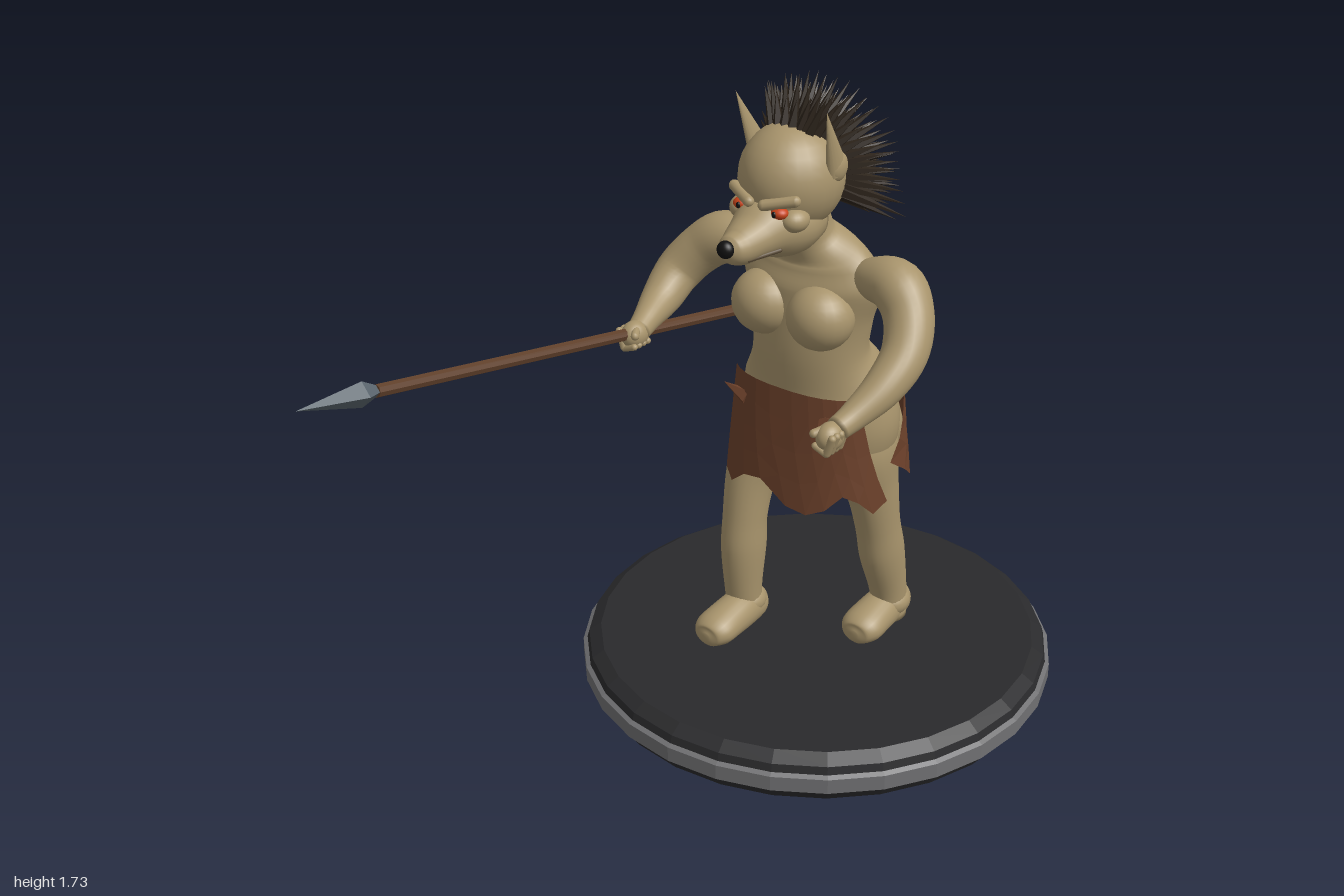
import * as THREE from 'three';
import { mergeVertices } from 'three/addons/utils/BufferGeometryUtils.js';

const mat = (color, flatShading = false, side = THREE.FrontSide) =>
  new THREE.MeshStandardMaterial({ color, flatShading, side, roughness: 0.9 });
const SKIN = mat(0xa8946c), HAIR = mat(0x2c231a, true), WOOD = mat(0x60402a, true);
const CLOTH = mat(0x6b402a, true, THREE.DoubleSide), STEEL = mat(0x59646c, true);
const DARK = mat(0x2a2a2c, true), RIM = mat(0x707072, true);
const BLACK = mat(0x111111), EYE = mat(0xc8431a);
const UP = new THREE.Vector3(0, 1, 0);
const V = (x, y, z) => new THREE.Vector3(x, y, z);

// Smooth skin through sections [x, y, z, radiusA, radiusB]
function loft(sections, sides = 24, steps = 36) {
  const path = new THREE.CatmullRomCurve3(sections.map(s => V(s[0], s[1], s[2])));
  const radii = new THREE.CatmullRomCurve3(sections.map((s, i) => V(s[3], s[4] ?? s[3], i * 0.05)));
  const geo = new THREE.CylinderGeometry(1, 1, 1, sides, steps);
  const pos = geo.attributes.position, p = V(0, 0, 0), q = new THREE.Quaternion();
  for (let i = 0; i < pos.count; i++) {
    p.fromBufferAttribute(pos, i);
    const t = THREE.MathUtils.clamp(p.y + 0.5, 0, 1), r = radii.getPoint(t);
    q.setFromUnitVectors(UP, path.getTangent(t));
    p.set(p.x * r.x, 0, p.z * r.y).applyQuaternion(q).add(path.getPoint(t));
    pos.setXYZ(i, p.x, p.y, p.z);
  }
  geo.deleteAttribute('uv');
  geo.deleteAttribute('normal');
  const smooth = mergeVertices(geo, 1e-5);
  smooth.computeVertexNormals();
  return smooth;
}

// Curved cloth strip round the hips; angles in degrees from the front, one hem height per column
function clothPanel(topRange, hemRange, hem) {
  const n = hem.length - 1, rows = 4, top = 0.92;
  const geo = new THREE.PlaneGeometry(1, 1, n, rows), pos = geo.attributes.position;
  const pow = (v, e) => Math.sign(v) * Math.abs(v) ** e;
  for (let i = 0; i < pos.count; i++) {
    const u = pos.getX(i) + 0.5, v = 0.5 - pos.getY(i);
    const a = THREE.MathUtils.degToRad(THREE.MathUtils.lerp(
      THREE.MathUtils.lerp(topRange[0], topRange[1], u),
      THREE.MathUtils.lerp(hemRange[0], hemRange[1], u), v ** 1.5));
    const y = top - v * (top - hem[Math.round(u * n)]), flare = top - y;
    pos.setXYZ(i, pow(Math.sin(a), 0.8) * (0.222 + flare * 0.08), y,
      -0.345 + pow(Math.cos(a), 0.8) * (0.165 + flare * 0.12));
  }
  geo.computeVertexNormals();
  return geo;
}

export function createModel() {
  const model = new THREE.Group();
  const add = (name, geo, material, parent = model) => {
    const m = new THREE.Mesh(geo, material);
    m.name = name;
    parent.add(m);
    return m;
  };
  const ball = (name, c, r, material = SKIN, parent = model) => {
    const m = add(name, new THREE.SphereGeometry(1, 24, 16), material, parent);
    m.position.set(...c);
    m.scale.set(...r);
    return m;
  };
  const between = (name, a, b, makeGeo, material, parent = model) => {
    const d = b.clone().sub(a), m = add(name, makeGeo(d.length()), material, parent);
    m.position.copy(a).addScaledVector(d, 0.5);
    m.quaternion.setFromUnitVectors(UP, d.normalize());
    return m;
  };
  const capsule = (name, a, b, r, parent, material = SKIN) =>
    between(name, a, b, l => new THREE.CapsuleGeometry(r, l, 4, 10), material, parent);

  // Round stand
  const lathe = (name, pts, material) => {
    const m = add(name, new THREE.LatheGeometry(pts.map(p => new THREE.Vector2(...p)), 28), material);
    m.position.z = -0.355;
  };
  lathe('standFoot', [[0, 0], [0.615, 0], [0.632, 0.03]], DARK);
  lathe('standRim', [[0.63, 0.028], [0.645, 0.038], [0.645, 0.08], [0.632, 0.088]], RIM);
  lathe('standTop', [[0.634, 0.086], [0.628, 0.108], [0.595, 0.13], [0, 0.13]], DARK);

  // Torso and neck
  add('torso', loft([
    [0, 0.6, -0.35, 0.06, 0.05], [0, 0.7, -0.355, 0.2, 0.15], [0, 0.8, -0.355, 0.225, 0.16],
    [0, 0.9, -0.34, 0.208, 0.15], [0, 1.0, -0.307, 0.163, 0.118], [0, 1.1, -0.307, 0.172, 0.115],
    [0, 1.2, -0.31, 0.2, 0.112], [0, 1.27, -0.295, 0.165, 0.085], [0, 1.32, -0.27, 0.082, 0.07],
    [0, 1.38, -0.25, 0.07, 0.07], [0, 1.44, -0.23, 0.06, 0.06]], 36, 60), SKIN);
  for (const s of [-1, 1]) {
    ball('chest', [s * 0.085, 1.125, -0.225], [0.088, 0.085, 0.085]);
    ball('buttock', [s * 0.1, 0.76, -0.42], [0.1, 0.11, 0.09]);
  }

  // Legs and feet: the right one steps forward
  const legs = {
    right: [-1, -0.18, [[0.16, -0.24], [0.25, -0.23], [0.38, -0.23], [0.48, -0.235], [0.6, -0.26], [0.72, -0.31], [0.84, -0.34]]],
    left: [1, -0.435, [[0.16, -0.48], [0.25, -0.47], [0.38, -0.435], [0.48, -0.41], [0.6, -0.385], [0.72, -0.36], [0.84, -0.35]]],
  };
  const legX = [0.157, 0.157, 0.156, 0.155, 0.15, 0.13, 0.1];
  const legR = [[0.048, 0.05], [0.05, 0.054], [0.058, 0.068], [0.058, 0.066], [0.066, 0.08], [0.09, 0.11], [0.085, 0.1]];
  for (const [side, [s, footZ, line]] of Object.entries(legs)) {
    add(side + 'Leg', loft(line.map(([y, z], i) => [s * legX[i], y, z, ...legR[i]])), SKIN);
    ball(side + 'Ankle', [s * 0.157, 0.205, line[0][1]], [0.057, 0.045, 0.06]);
    add(side + 'Foot', loft([
      [-0.118, 0.18, 0.01, 0.01], [-0.1, 0.185, 0.042, 0.046], [-0.04, 0.188, 0.052, 0.056],
      [0.03, 0.183, 0.057, 0.052], [0.085, 0.176, 0.058, 0.044], [0.115, 0.17, 0.04, 0.03], [0.122, 0.17, 0.01, 0.01],
    ].map(([z, y, a, b]) => [s * (0.152 + 0.02 * z), y, footZ + z, a, b])), SKIN);
  }

  // Arms, from wrist up to shoulder, with closed hands
  add('rightArm', loft([
    [-0.335, 1.04, -0.02, 0.03], [-0.347, 1.055, -0.07, 0.036], [-0.37, 1.08, -0.16, 0.052],
    [-0.37, 1.13, -0.23, 0.06], [-0.325, 1.19, -0.27, 0.064], [-0.265, 1.23, -0.29, 0.068],
    [-0.19, 1.23, -0.3, 0.055], [-0.13, 1.22, -0.3, 0.03]]), SKIN);
  add('leftArm', loft([
    [0.305, 0.98, 0.01, 0.03], [0.318, 1.0, -0.04, 0.036], [0.342, 1.05, -0.13, 0.05],
    [0.345, 1.11, -0.21, 0.058], [0.315, 1.18, -0.265, 0.063], [0.265, 1.23, -0.29, 0.068],
    [0.19, 1.23, -0.3, 0.055], [0.13, 1.22, -0.3, 0.03]]), SKIN);
  for (const [side, s, x, y, z] of [['right', -1, -0.335, 1.038, -0.01], ['left', 1, 0.3, 0.968, 0.03]]) {
    const hand = new THREE.Group();
    hand.name = side + 'Hand';
    hand.position.set(x, y, z);
    model.add(hand);
    ball('palm', [0, 0, 0], [0.032, 0.036, 0.04], SKIN, hand);
    for (let i = 0; i < 4; i++) {
      const fz = -0.022 + i * 0.017;
      capsule('finger', V(s * 0.026, 0.012, fz), V(s * 0.012, -0.03, fz), 0.01, hand);
      capsule('fingerTip', V(s * 0.01, -0.032, fz), V(-s * 0.022, -0.02, fz), 0.009, hand);
    }
    capsule('thumb', V(0, 0.025, -0.01), V(-s * 0.026, 0.012, 0.03), 0.011, hand);
  }

  // Head, muzzle and face
  const headC = V(0, 1.48, -0.215), headR = V(0.128, 0.135, 0.14);
  ball('head', headC.toArray(), headR.toArray());
  add('muzzle', loft([
    [0, 1.375, -0.25, 0.085, 0.075], [0, 1.375, -0.18, 0.1, 0.085], [0, 1.38, -0.11, 0.085, 0.078],
    [0, 1.37, -0.05, 0.064, 0.056], [0, 1.362, 0, 0.047, 0.045], [0, 1.365, 0.03, 0.034, 0.033],
    [0, 1.367, 0.045, 0.012, 0.012]]), SKIN);
  ball('nose', [0, 1.37, 0.045], [0.022, 0.022, 0.019], BLACK);
  for (const s of [-1, 1]) {
    ball('eye', [s * 0.056, 1.433, -0.09], [0.022, 0.015, 0.02], EYE);
    ball('pupil', [s * 0.053, 1.433, -0.072], [0.006, 0.008, 0.005], BLACK);
    capsule('brow', V(s * 0.022, 1.45, -0.072), V(s * 0.09, 1.465, -0.105), 0.014);
    ball('cheek', [s * 0.075, 1.41, -0.125], [0.035, 0.03, 0.04]);
    capsule('mouthLine', V(s * 0.034, 1.337, 0), V(s * 0.067, 1.345, -0.08), 0.005, model, mat(0x5c4c36));
    // Pointed ears
    const ear = between('ear', V(s * 0.115, 1.51, -0.235), V(s * 0.133, 1.675, -0.165),
      l => new THREE.ConeGeometry(0.036, l, 16), SKIN);
    ear.scale.x = 0.55;
    ball('earBase', [s * 0.115, 1.52, -0.235], [0.022, 0.038, 0.036]);
  }

  // Spiky mane over the crown and down the back of the head
  const mane = new THREE.Group();
  mane.name = 'mane';
  model.add(mane);
  for (let i = 0; i < 14; i++) {
    const k = i / 13, spread = 0.5 + 0.55 * Math.min(1, k * 2);
    for (let j = 0; j < 11; j++) {
      const jit = Math.sin(i * 12.9 + j * 78.2), jit2 = Math.cos(i * 37.7 + j * 19.1);
      const a = -0.08 + k * 2.15 + jit * 0.07, b = (j / 5 - 1) * spread + jit2 * 0.06;
      const dir = V(Math.sin(b), Math.cos(b) * Math.cos(a), -Math.cos(b) * Math.sin(a));
      const root = headC.clone().addScaledVector(dir.clone().multiply(headR), 0.95);
      const tip = root.clone().addScaledVector(dir, 0.085 + 0.05 * k + 0.025 * jit);
      tip.add(V(0, 0.01 - 0.03 * k, -0.02));
      between('spike', root, tip, l => new THREE.ConeGeometry(0.016, l, 5), HAIR, mane);
    }
  }

  // Ragged hide skirt in a front and a back piece
  add('skirtFront', clothPanel([-50, 60], [-45, 84],
    [0.63, 0.61, 0.65, 0.66, 0.61, 0.6, 0.62, 0.66, 0.64, 0.6, 0.62]), CLOTH);
  add('skirtBack', clothPanel([114, 246], [88, 284],
    [0.72, 0.67, 0.63, 0.69, 0.66, 0.61, 0.68, 0.7, 0.64, 0.61, 0.67, 0.63, 0.6, 0.72]), CLOTH);
  for (const s of [-1, 1])
    between('skirtTie', V(s * 0.12, 0.85, -0.2), V(s * 0.195, 0.875, -0.195),
      l => new THREE.ConeGeometry(0.025, l, 5), CLOTH);

  // Spear: shaft and four-sided point
  const butt = V(-0.26, 0.905, -0.86), neck = V(-0.412, 1.167, 0.785), point = V(-0.43, 1.197, 1);
  between('spearShaft', butt, neck, l => new THREE.CylinderGeometry(0.016, 0.016, l, 8), WOOD);
  between('spearPoint', neck, point, l => new THREE.LatheGeometry(
    [[0, -0.5], [0.014, -0.5], [0.031, -0.32], [0, 0.5]].map(p => new THREE.Vector2(p[0], p[1] * l)), 4), STEEL);
  return model;
}
